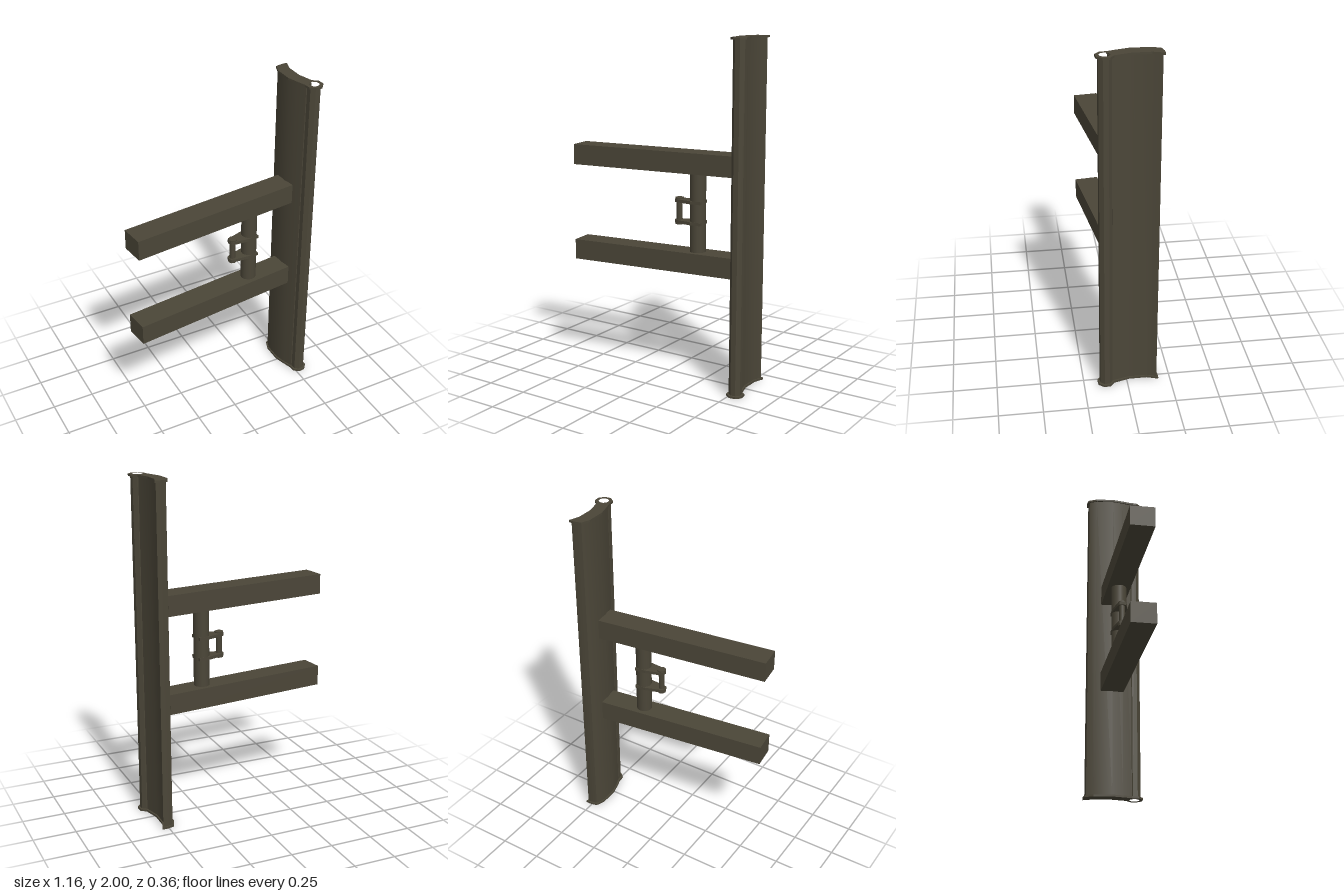
import * as THREE from 'three';
import { toCreasedNormals } from 'three/addons/utils/BufferGeometryUtils.js';

const metal = new THREE.MeshStandardMaterial({ color: 0x4b4638 });
metal.name = 'dark olive metal';

// Plan outline given as [x, z] pairs
const planShape = (points) => new THREE.Shape(points.map(([x, z]) => new THREE.Vector2(x, -z)));

// Extrudes a plan outline upward from y = 0
function extrudeUp(shape, height) {
  const g = new THREE.ExtrudeGeometry(shape, { depth: height, bevelEnabled: false, curveSegments: 8 });
  return g.rotateX(-Math.PI / 2);
}

function add(parent, name, geometry, x = 0, y = 0, z = 0) {
  const mesh = new THREE.Mesh(geometry, metal);
  mesh.name = name;
  mesh.position.set(x, y, z);
  parent.add(mesh);
  return mesh;
}

// Corners of the octagonal hinge outline as [x, z]
const HINGE = [0.53, 0.122];
const octagon = (r) => Array.from({ length: 8 }, (_, i) => {
  const a = (17 + i * 45) * Math.PI / 180;
  return [HINGE[0] + r * Math.cos(a), HINGE[1] + r * Math.sin(a)];
});

export function createModel() {
  const model = new THREE.Group();
  model.name = 'curved panel with arms';

  // Tall curved blade
  const blade = planShape([
    [0.532, -0.173], [0.51, -0.174], [0.473, -0.165], [0.455, -0.118], [0.455, -0.012],
    [0.472, 0.053], [0.492, 0.105], [0.537, 0.085], [0.512, -0.013], [0.512, -0.12],
  ]);
  add(model, 'blade', toCreasedNormals(extrudeUp(blade, 1.98), 0.4), 0, 0.01, 0);

  // Open hinge tube along the front edge
  const tube = new THREE.CylinderGeometry(0.038, 0.038, 1.98, 8, 1, true, (90 - 17) * Math.PI / 180);
  add(model, 'hingeTube', toCreasedNormals(tube, 0.4), HINGE[0], 1, HINGE[1]);

  // End plates with hinge eyes
  const plate = planShape([
    [0.542, -0.183], [0.51, -0.183], [0.467, -0.173], [0.447, -0.12], [0.447, -0.01],
    [0.465, 0.056], [0.482, 0.108], [0.545, 0.074], [0.52, -0.015], [0.52, -0.12],
  ]);
  const eye = planShape(octagon(0.051));
  eye.holes.push(planShape(octagon(0.03)));
  for (const [side, y] of [['lower', 0], ['upper', 1.988]]) {
    add(model, side + 'EndPlate', extrudeUp(plate, 0.012), 0, y, 0);
    add(model, side + 'HingeEye', extrudeUp(eye, 0.012), 0, y, 0);
  }

  // Arm assembly, turned slightly about the vertical
  const arms = new THREE.Group();
  arms.name = 'armAssembly';
  arms.position.set(-0.055, 0, 0.047);
  arms.rotation.y = 0.1195;
  model.add(arms);
  for (const [side, y] of [['lower', 0.713], ['upper', 1.291]]) {
    add(arms, side + 'Arm', new THREE.BoxGeometry(1.035, 0.12, 0.141), 0, y, 0);
  }

  // Post between the arms
  const postX = 0.264;
  add(arms, 'post', new THREE.CylinderGeometry(0.046, 0.046, 0.47, 16), postX, 1.002, 0);

  // Handle: two tapered links joined by a pin
  const pinX = postX - 0.117;
  const link = planShape([
    [postX + 0.035, -0.046], [postX - 0.03, -0.046], [pinX, -0.028], [pinX - 0.02, -0.02],
    [pinX - 0.027, 0], [pinX - 0.02, 0.02], [pinX, 0.028], [postX - 0.03, 0.046], [postX + 0.035, 0.046],
  ]);
  for (const [side, y, out] of [['lower', 0.941, -1], ['upper', 1.063, 1]]) {
    add(arms, side + 'Link', extrudeUp(link, 0.018), 0, y - 0.009, 0);
    add(arms, side + 'LinkBoss', new THREE.CylinderGeometry(0.026, 0.026, 0.026, 8), pinX, y + out * 0.004, 0);
  }
  add(arms, 'handlePin', new THREE.CylinderGeometry(0.018, 0.018, 0.13, 8), pinX, 1.002, 0);

  return model;
}
